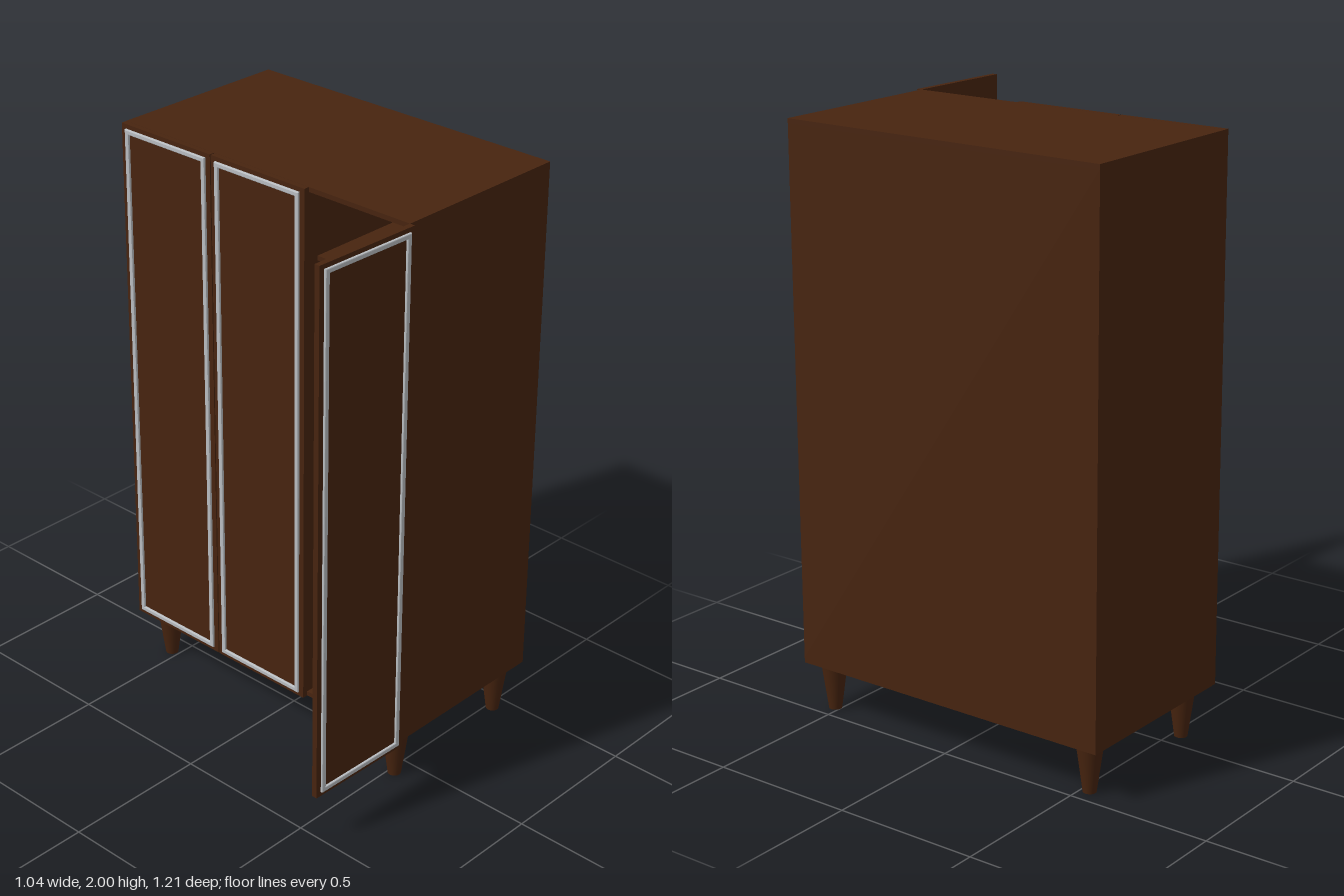
import * as THREE from 'three';

const wood = new THREE.MeshStandardMaterial({ color: 0x47240f });
wood.name = 'dark wood';
const metal = new THREE.MeshStandardMaterial({ color: 0xb9bdc1 });
metal.name = 'silver trim';
const glass = new THREE.MeshStandardMaterial({ color: 0xc8c8c8 });
glass.name = 'mirror glass';

const BOTTOM = 0.175, TOP = 2, HEIGHT = TOP - BOTTOM, MID = (TOP + BOTTOM) / 2;
const BACK = 0.52, FRONT = -0.13;      // cabinet depth runs along x, doors face -x
const Z0 = -0.608, Z1 = 0.58;          // cabinet width runs along z
const T = 0.016, DOOR_W = 0.393, DOOR_T = 0.019;

// Box given by its minimum and maximum corners
function board(name, x0, x1, y0, y1, z0, z1, material = wood) {
  const mesh = new THREE.Mesh(new THREE.BoxGeometry(x1 - x0, y1 - y0, z1 - z0), material);
  mesh.position.set((x0 + x1) / 2, (y0 + y1) / 2, (z0 + z1) / 2);
  mesh.name = name;
  return mesh;
}

// Rectangular frame facing +z with a small bevelled edge
function frame(name, w, h, t, depth, material) {
  const b = 0.003;
  const rect = (path, x, y) =>
    path.moveTo(-x, -y).lineTo(x, -y).lineTo(x, y).lineTo(-x, y).closePath();
  const shape = rect(new THREE.Shape(), w / 2 - b, h / 2 - b);
  shape.holes.push(rect(new THREE.Path(), w / 2 - t + b, h / 2 - t + b));
  const geometry = new THREE.ExtrudeGeometry(shape, {
    depth: depth - b, bevelEnabled: true, bevelSize: b, bevelThickness: b, bevelSegments: 2,
  });
  const mesh = new THREE.Mesh(geometry, material);
  mesh.name = name;
  return mesh;
}

// Door whose outer face looks along +z, centred on its own origin
function door(name) {
  const group = new THREE.Group();
  group.name = name;
  const w = DOOR_W / 2, h = HEIGHT / 2, t = DOOR_T / 2;
  group.add(board('doorPanel', -w, w, -h, h, -t, t));
  const trim = frame('doorTrim', 0.355, 1.795, 0.016, 0.008, metal);
  trim.position.z = t;
  group.add(trim);
  return group;
}

export function createModel() {
  const model = new THREE.Group();
  model.name = 'wardrobe';

  // Carcass
  const carcass = new THREE.Group();
  carcass.name = 'carcass';
  carcass.add(
    board('topPanel', FRONT, BACK, TOP - T, TOP, Z0, Z1),
    board('bottomPanel', FRONT, BACK, BOTTOM, BOTTOM + T, Z0, Z1),
    board('backPanel', BACK - T, BACK, BOTTOM + T, TOP - T, Z0, Z1),
    board('sidePanel', FRONT, BACK - T, BOTTOM + T, TOP - T, Z0, Z0 + T),
    board('sidePanel', FRONT, BACK - T, BOTTOM + T, TOP - T, Z1 - T, Z1),
    board('divider', FRONT, BACK - T, BOTTOM + T, TOP - T, 0.166, 0.166 + T),
  );
  model.add(carcass);

  // Shelves in the open compartment
  for (const y of [0.71, 1.023, 1.27, 1.517, 1.764]) {
    model.add(board('shelf', FRONT + 0.04, BACK - T, y - T, y, 0.166 + T, Z1 - T));
  }

  // Two closed doors
  for (const z of [-0.4105, -0.0135]) {
    const closed = door('closedDoor');
    closed.rotation.y = -Math.PI / 2;
    closed.position.set(FRONT - DOOR_T / 2 - 0.001, MID, z);
    model.add(closed);
  }

  // Open door with a mirror on its inner face
  const open = door('openDoor');
  const inner = -DOOR_T / 2;
  open.add(board('mirror', -0.152, 0.162, -0.66, 0.635, inner - 0.002, inner, glass));
  const surround = frame('mirrorSurround', 0.33, 1.311, 0.008, 0.005, wood);
  surround.rotation.y = Math.PI;
  surround.position.set(0.005, -0.0125, inner);
  open.add(surround);
  open.rotation.y = -0.024;
  open.position.set(-0.3265, MID, 0.584);
  model.add(open);

  // Tapered legs
  const legGeometry = new THREE.CylinderGeometry(0.046, 0.022, BOTTOM, 24);
  for (const x of [-0.07, 0.44]) {
    for (const z of [-0.53, 0.52]) {
      const leg = new THREE.Mesh(legGeometry, wood);
      leg.name = 'leg';
      leg.position.set(x, BOTTOM / 2, z);
      model.add(leg);
    }
  }
  return model;
}
